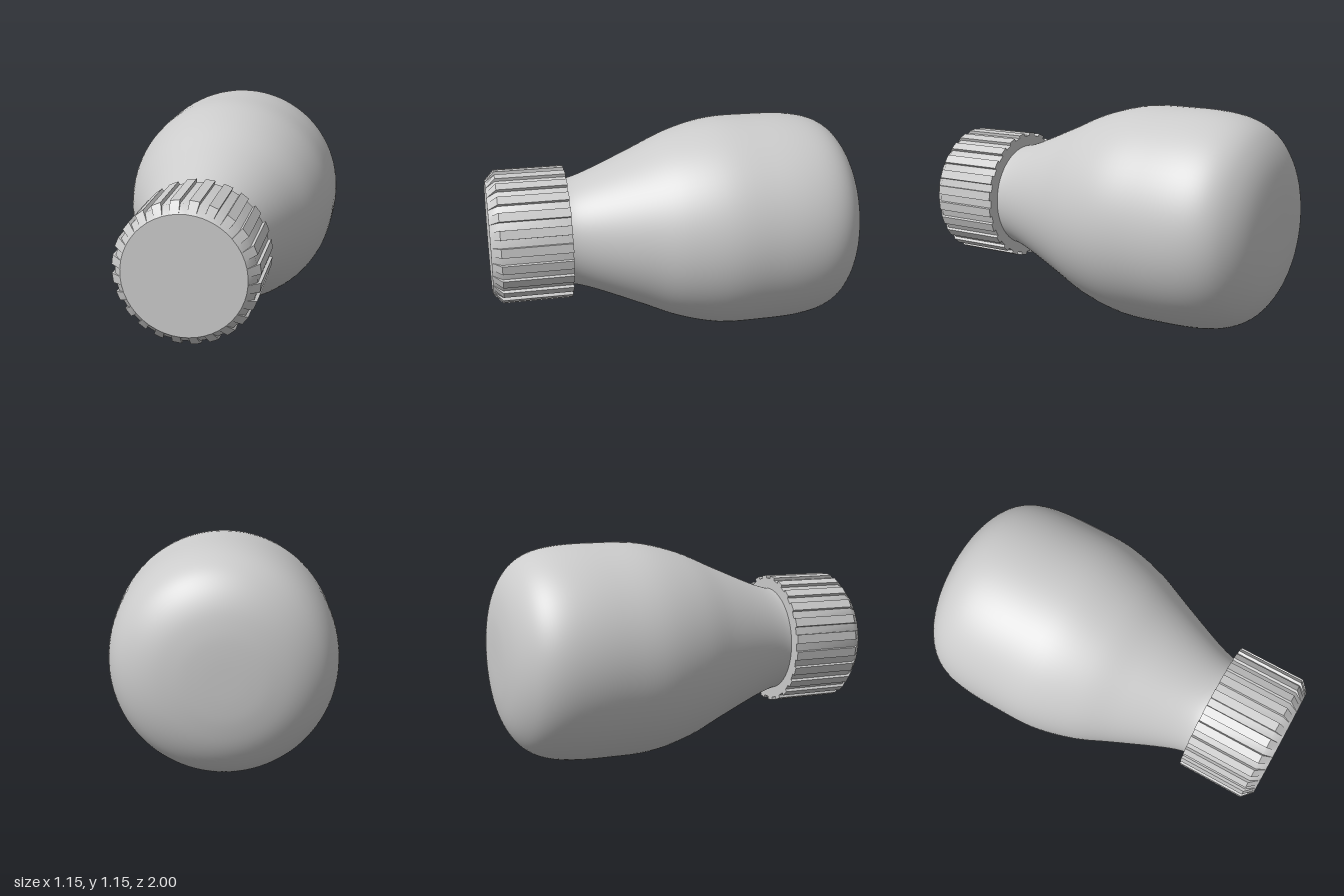
import * as THREE from 'three';
import { toCreasedNormals } from 'three/addons/utils/BufferGeometryUtils.js';

const AXIS_Y = 0.577;
const TEETH = 24;
const CAP_R = 0.357;
const GROOVE_R = 0.341;

const vec = ([r, z]) => new THREE.Vector2(r, z);

// Smooth bulb-shaped body, from the rounded base (back) to the neck inside the cap
function makeBody(material) {
  const curve = new THREE.SplineCurve([
    [0, -1], [0.12, -0.998], [0.23, -0.988], [0.34, -0.962], [0.43, -0.917], [0.5, -0.852],
    [0.545, -0.76], [0.568, -0.63], [0.574, -0.45], [0.568, -0.22], [0.515, 0], [0.43, 0.2],
    [0.345, 0.4], [0.3, 0.52], [0.283, 0.6], [0.28, 0.7],
  ].map(vec));
  const points = curve.getPoints(72);
  points[0].x = 0;
  const mesh = new THREE.Mesh(new THREE.LatheGeometry(points, 96), material);
  mesh.name = 'body';
  return mesh;
}

// Ribbed screw cap: a lathe whose outer rings are reshaped into teeth and grooves
function makeCap(material) {
  const profile = [[0.26, 0.585], [CAP_R, 0.585], [CAP_R, 0.95], [0.303, 1], [0, 1]].map(vec);
  const segments = TEETH * 4;
  const geometry = new THREE.LatheGeometry(profile, segments);
  const pos = geometry.attributes.position;
  const step = (Math.PI * 2) / TEETH;
  const offsets = [-0.06, 0.06, 0.064, step - 0.064]; // groove, groove, tooth, tooth
  for (let i = 0; i < pos.count; i++) {
    const k = Math.floor(i / profile.length) % segments;
    const p = profile[i % profile.length];
    const angle = Math.floor(k / 4) * step + offsets[k % 4];
    const r = p.x === CAP_R && k % 4 < 2 ? GROOVE_R : p.x;
    pos.setXYZ(i, r * Math.sin(angle), p.y, r * Math.cos(angle));
  }
  const mesh = new THREE.Mesh(toCreasedNormals(geometry, 0.65), material);
  mesh.name = 'cap';
  return mesh;
}

export function createModel() {
  const group = new THREE.Group();
  group.name = 'bottle';
  const material = new THREE.MeshStandardMaterial({ color: 0xcccccc, side: THREE.DoubleSide });
  // Lay both parts down so the cap faces the front
  for (const part of [makeBody(material), makeCap(material)]) {
    part.geometry.rotateX(Math.PI / 2);
    part.position.y = AXIS_Y;
    group.add(part);
  }
  return group;
}
